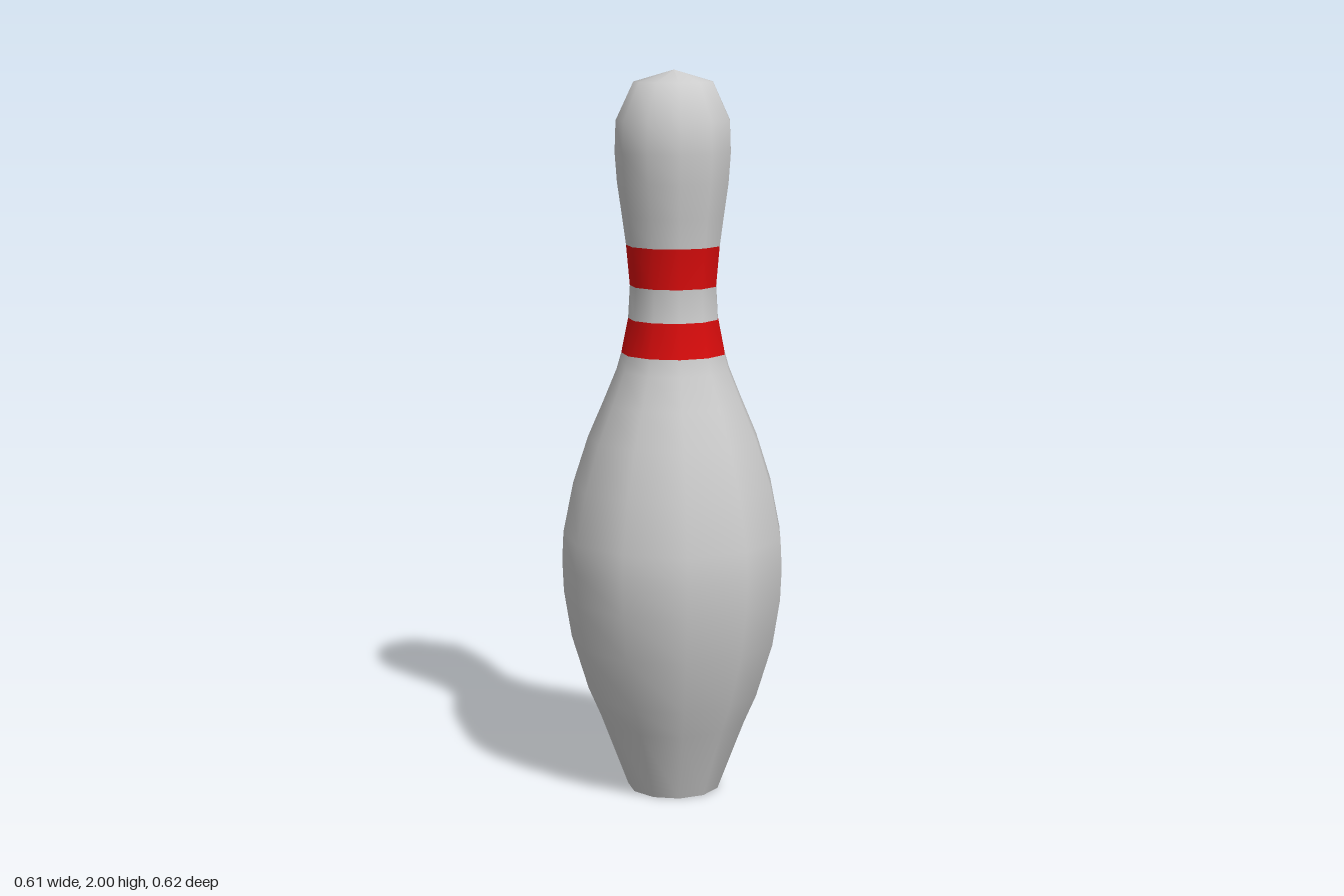
import * as THREE from 'three';

const SIDES = 11;

// Pin outline from base to crown: [radius, height]
const PROFILE = [
  [0.129, 0], [0.205, 0.2], [0.24, 0.28], [0.286, 0.43], [0.307, 0.56], [0.311, 0.65],
  [0.307, 0.73], [0.279, 0.87], [0.237, 1.0], [0.194, 1.1], [0.157, 1.19], [0.144, 1.235],
  [0.125, 1.33], [0.12, 1.42], [0.13, 1.53], [0.141, 1.61], [0.154, 1.7], [0.16, 1.78],
  [0.157, 1.865], [0.109, 1.968], [0, 2],
];

// Sections of the pin, each ending at a given height
const SECTIONS = [
  ['body', 1.235, 0xcccccc],
  ['lowerStripe', 1.33, 0xd80c0c],
  ['neck', 1.42, 0xcccccc],
  ['upperStripe', 1.53, 0xd80c0c],
  ['head', 2, 0xcccccc],
];

// Keep only the rows of a lathe between two profile points, sharing its smooth normals
function latheRows(lathe, from, to) {
  const rows = PROFILE.length - 1;
  const index = lathe.index.array;
  const kept = [];
  for (let side = 0; side < SIDES; side++) {
    for (let row = from; row < to; row++) {
      const start = (side * rows + row) * 6;
      kept.push(...index.slice(start, start + 6));
    }
  }
  const geometry = lathe.clone();
  geometry.setIndex(kept);
  return geometry;
}

export function createModel() {
  const pin = new THREE.Group();
  pin.name = 'bowlingPin';

  const points = PROFILE.map(([r, y]) => new THREE.Vector2(r, y));
  const lathe = new THREE.LatheGeometry(points, SIDES, -Math.PI / 2);

  let from = 0;
  for (const [name, top, color] of SECTIONS) {
    const to = PROFILE.findIndex(([, y]) => y === top);
    const material = new THREE.MeshStandardMaterial({ color });
    const mesh = new THREE.Mesh(latheRows(lathe, from, to), material);
    mesh.name = name;
    pin.add(mesh);
    from = to;
  }

  // Flat underside
  const baseGeometry = new THREE.CircleGeometry(PROFILE[0][0], SIDES, Math.PI);
  baseGeometry.rotateX(Math.PI / 2);
  const base = new THREE.Mesh(baseGeometry, new THREE.MeshStandardMaterial({ color: 0xcccccc }));
  base.name = 'base';
  pin.add(base);

  // An odd-sided ring is wider on its corner side, so shift it to centre
  pin.position.x = 0.006;
  return pin;
}
